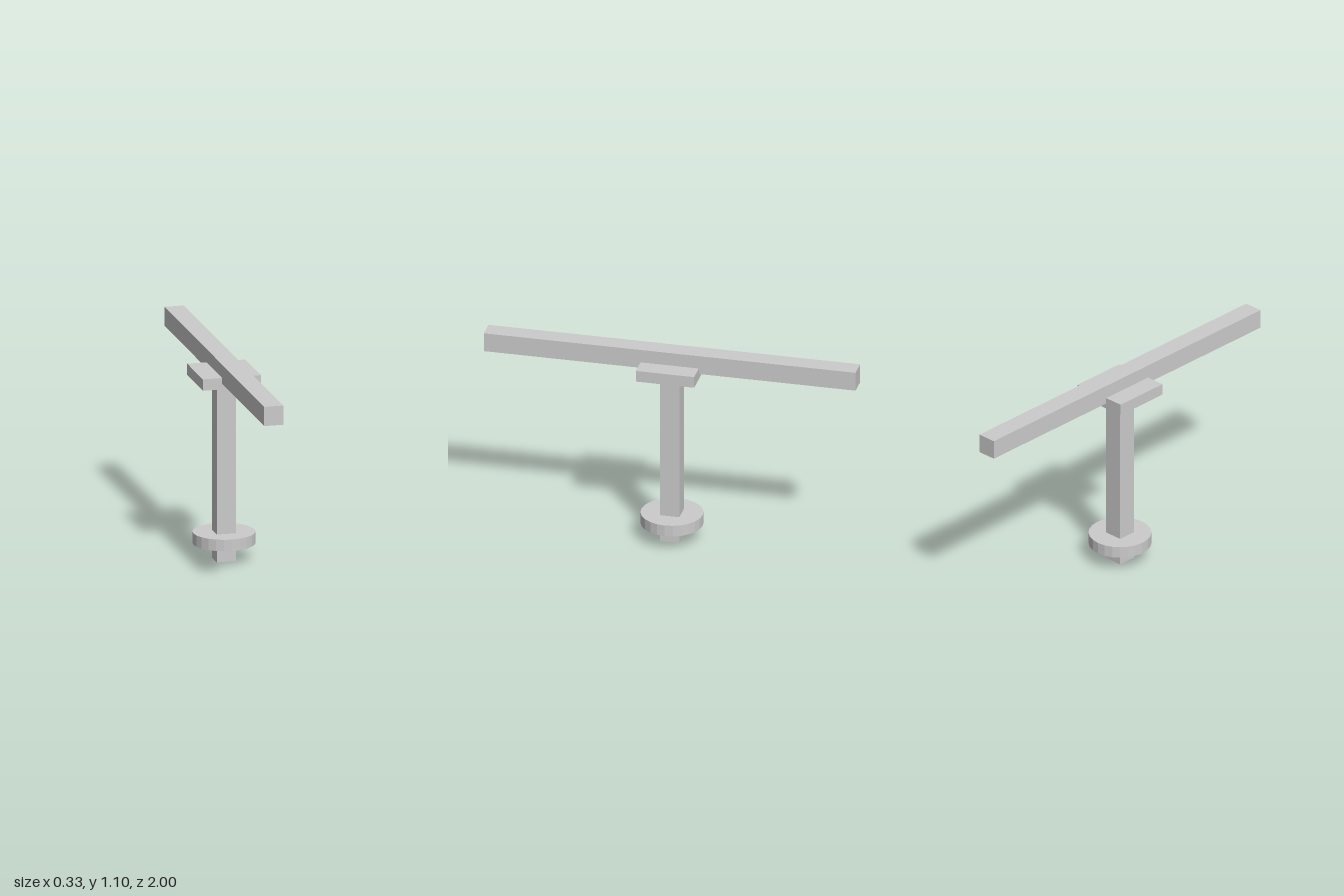
import * as THREE from 'three';

export function createModel() {
  const model = new THREE.Group();
  const material = new THREE.MeshStandardMaterial({ color: 0xcccccc, flatShading: true });

  // Places a named part with its underside at height y
  const add = (name, geometry, height, y) => {
    const mesh = new THREE.Mesh(geometry, material);
    mesh.name = name;
    mesh.position.y = y + height / 2;
    model.add(mesh);
  };
  const box = (name, w, h, d, y) => add(name, new THREE.BoxGeometry(w, h, d), h, y);

  const bar = 0.104; // square section shared by post and beam

  box('post', bar, 1, bar, 0);
  box('crossBeam', bar, bar, 2, 1);
  box('supportPlate', 0.314, 0.062, 0.314, 0.97);

  // Round collar near the foot of the post
  add('collar', new THREE.CylinderGeometry(0.165, 0.165, 0.062, 24), 0.062, 0.09);

  return model;
}
